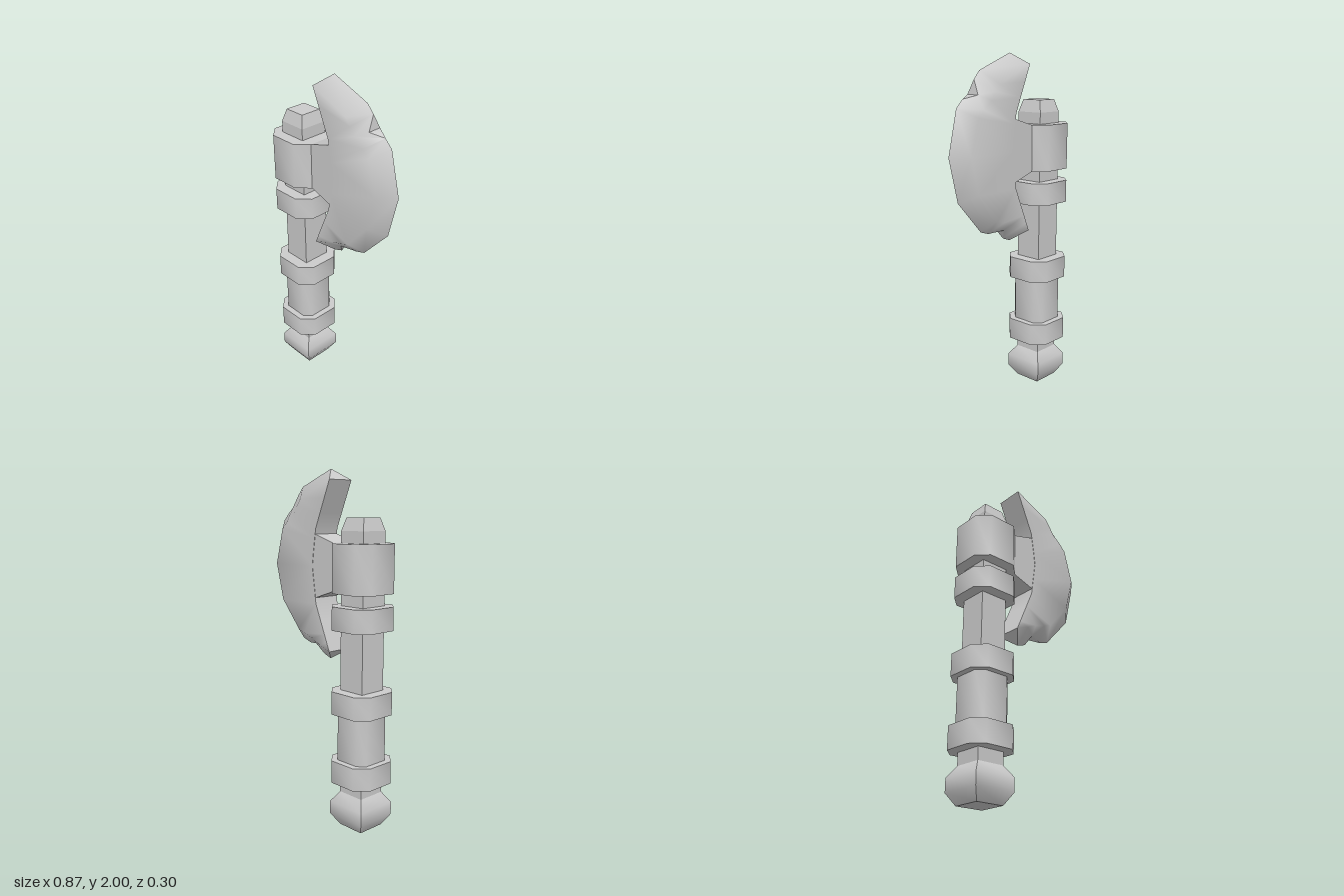
import * as THREE from 'three';
import { toCreasedNormals } from 'three/addons/utils/BufferGeometryUtils.js';

const material = new THREE.MeshStandardMaterial({ color: 0xcccccc });
const HANDLE_X = -0.285;
const T = 0.083; // half thickness of the blade

function addPart(group, name, geometry, crease = 0.9) {
  const mesh = new THREE.Mesh(toCreasedNormals(geometry, crease), material);
  mesh.name = name;
  group.add(mesh);
  return mesh;
}

// Square-section solid from [half width, y] pairs, closed at both ends
function squareLathe(profile) {
  const pts = profile.map(([h, y]) => new THREE.Vector2(h * Math.SQRT2, y));
  pts.unshift(new THREE.Vector2(0, profile[0][1]));
  pts.push(new THREE.Vector2(0, profile[profile.length - 1][1]));
  return new THREE.LatheGeometry(pts, 4, Math.PI / 4).translate(HANDLE_X, 0, 0);
}

// Upright block with cut corners
function cutBlock(h, cut, y0, y1) {
  const c = h - cut;
  const shape = new THREE.Shape(
    [[h, -c], [h, c], [c, h], [-c, h], [-h, c], [-h, -c], [-c, -h], [c, -h]]
      .map(([x, y]) => new THREE.Vector2(x, y)));
  return new THREE.ExtrudeGeometry(shape, { depth: y1 - y0, bevelEnabled: false })
    .rotateX(-Math.PI / 2).translate(HANDLE_X, y0, 0);
}

// Blade sections, top to bottom: inner edge x,y | bevel start x,y | cutting edge x,y,z
// (a cutting edge with z > 0 is the bottom of a notch)
const SECTIONS = [
  [-0.11, 1.94, -0.11, 1.94, -0.035, 2.0, 0],
  [-0.07, 1.845, 0.13, 1.84, 0.20, 1.91, 0],
  [-0.035, 1.763, 0.16, 1.80, 0.24, 1.865, 0],
  [0.0, 1.68, 0.19, 1.755, 0.25, 1.785, 0.04],
  [0.01, 1.62, 0.25, 1.71, 0.325, 1.765, 0],
  [0.02, 1.55, 0.29, 1.67, 0.37, 1.72, 0],
  [0.03, 1.47, 0.345, 1.47, 0.43, 1.47, 0],
  [0.015, 1.365, 0.29, 1.26, 0.37, 1.22, 0],
  [0.0, 1.26, 0.15, 1.10, 0.20, 1.03, 0],
  [-0.04, 1.165, 0.10, 1.08, 0.14, 1.01, 0],
  [-0.07, 1.095, 0.03, 1.06, 0.05, 1.02, 0.035],
  [-0.09, 1.047, -0.03, 1.03, 0.02, 0.96, 0],
  [-0.11, 1.0, -0.11, 1.0, -0.035, 0.94, 0],
];

function bladeGeometry() {
  const rings = SECTIONS.map(([ix, iy, rx, ry, ox, oy, oz]) => [
    [ix, iy, T], [rx, ry, T], [ox, oy, oz], [ox, oy, -oz], [rx, ry, -T], [ix, iy, -T],
  ]);
  const positions = [];
  const same = (a, b) => a.every((v, i) => v === b[i] || v + b[i] === 0 && v === 0);
  const tri = (a, b, c) => {
    if (!same(a, b) && !same(b, c) && !same(a, c)) positions.push(...a, ...b, ...c);
  };
  for (let i = 0; i < rings.length - 1; i++) {
    const p = rings[i], q = rings[i + 1];
    for (let k = 0; k < 6; k++) {
      const n = (k + 1) % 6;
      // Split so that notch corners stay crisp
      if (i % 2) {
        tri(p[k], q[k], q[n]);
        tri(p[k], q[n], p[n]);
      } else {
        tri(p[k], q[k], p[n]);
        tri(q[k], q[n], p[n]);
      }
    }
  }
  // Pointed tips
  const first = rings[0], last = rings[rings.length - 1];
  tri(first[0], first[2], first[5]);
  tri(last[5], last[2], last[0]);
  const geometry = new THREE.BufferGeometry();
  geometry.setAttribute('position', new THREE.Float32BufferAttribute(positions, 3));
  return geometry;
}

export function createModel() {
  const group = new THREE.Group();
  group.name = 'axe';

  // Handle
  addPart(group, 'shaft', squareLathe([[0.083, 0.1], [0.083, 1.67], [0.063, 1.74]]), 0.2);
  addPart(group, 'pommel',
    squareLathe([[0.083, 0], [0.123, 0.065], [0.123, 0.14], [0.083, 0.2]]));
  addPart(group, 'grip', cutBlock(0.113, 0.04, 0.38, 0.69));

  // Bands around the handle and the socket of the head
  for (const [name, y0, y1] of [
    ['lowerBand', 0.27, 0.40], ['middleBand', 0.67, 0.80],
    ['upperBand', 1.14, 1.27], ['headSocket', 1.34, 1.605],
  ]) addPart(group, name, cutBlock(0.15, 0.066, y0, y1));

  // Arm that joins the socket to the blade
  const arm = new THREE.Shape([
    [-0.16, 1.34], [-0.135, 1.34], [0.012, 1.292], [0.035, 1.47],
    [0.012, 1.65], [-0.135, 1.605], [-0.16, 1.605],
  ].map(([x, y]) => new THREE.Vector2(x, y)));
  addPart(group, 'bladeArm', new THREE.ExtrudeGeometry(arm, { depth: 0.162, bevelEnabled: false })
    .translate(0, 0, -0.081), 0.2);

  addPart(group, 'blade', bladeGeometry());
  return group;
}
